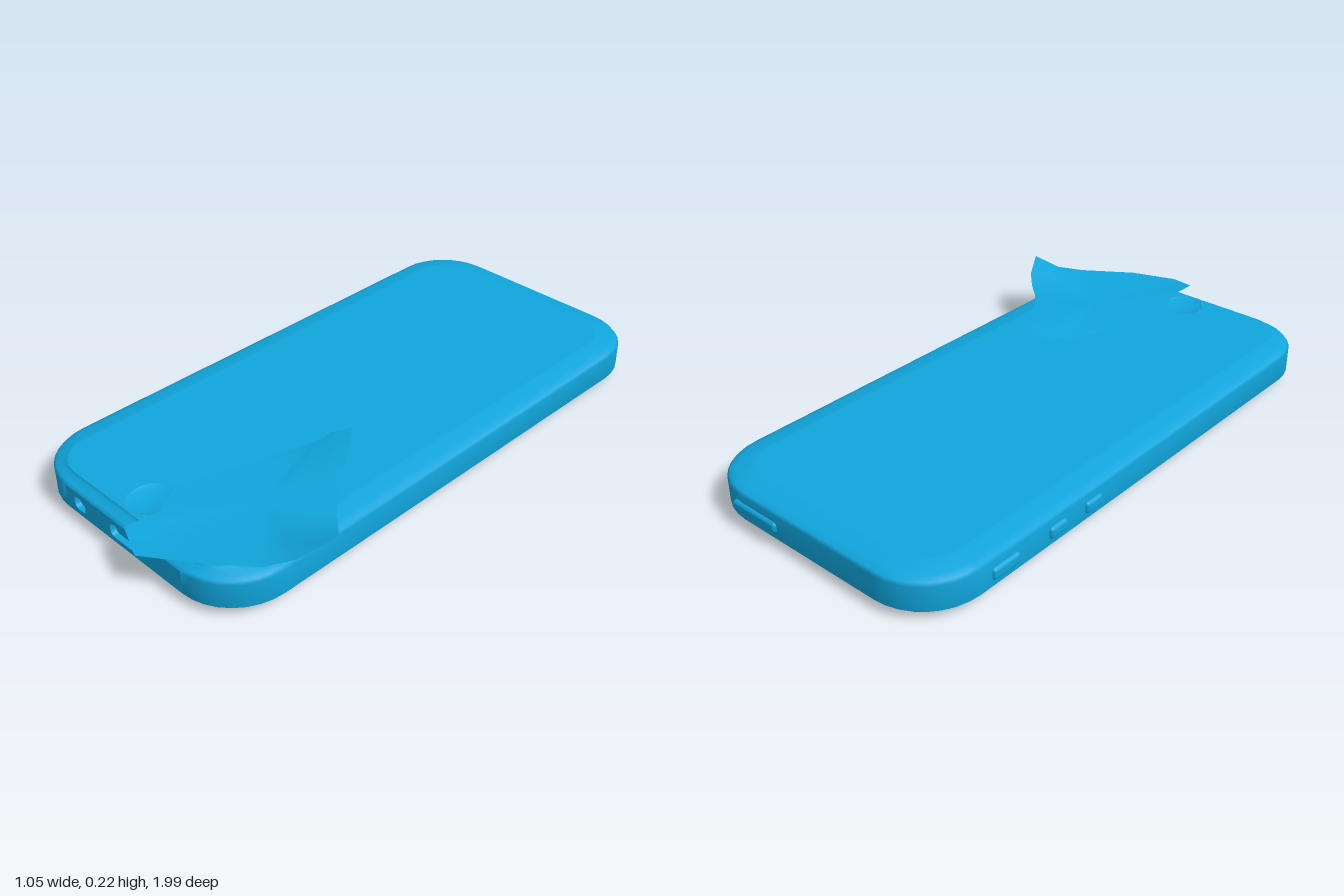
import * as THREE from 'three';
import { RoundedBoxGeometry } from 'three/addons/geometries/RoundedBoxGeometry.js';

const CX = -0.043, CZ = -0.03, HW = 0.473, HD = 0.96, R = 0.2, TOP = 0.14;
const FRONT = CZ + HD;
const BAND = 3; // profile row where the upright side wall begins

// Rounded-rectangle outline as [x, z], clockwise from above; the front edge insets less.
function outline(inset) {
  const pts = [], r = R - inset, frontInset = Math.min(inset, 0.036);
  for (let c = 0; c < 4; c++) {
    const sx = c === 0 || c === 3 ? 1 : -1, sz = c < 2 ? 1 : -1;
    for (let i = 0; i <= 8; i++) {
      const a = (c + i / 8) * Math.PI / 2;
      const shift = sz > 0 ? inset - frontInset : 0;
      pts.push([CX + sx * (HW - R) + r * Math.cos(a), CZ + sz * (HD - R) + r * Math.sin(a) + shift]);
    }
  }
  return pts;
}

// Rounded slot path in the xy plane
function slot(x, y, w, h, PathType = THREE.Path) {
  const p = new PathType(), r = h * 0.42, a = w / 2, b = h / 2;
  p.moveTo(x - a + r, y - b);
  p.lineTo(x + a - r, y - b).quadraticCurveTo(x + a, y - b, x + a, y - b + r);
  p.lineTo(x + a, y + b - r).quadraticCurveTo(x + a, y + b, x + a - r, y + b);
  p.lineTo(x - a + r, y + b).quadraticCurveTo(x - a, y + b, x - a, y + b - r);
  p.lineTo(x - a, y - b + r).quadraticCurveTo(x - a, y - b, x - a + r, y - b);
  return p;
}

function capGeometry(inset, y, up, hole) {
  // Shape y maps to -z when facing up, +z when facing down
  const s = up ? -1 : 1;
  const shape = new THREE.Shape(outline(inset).map(([x, z]) => new THREE.Vector2(x, s * z)));
  if (hole) shape.holes.push(hole);
  return new THREE.ShapeGeometry(shape, 24).rotateX(s * Math.PI / 2).translate(0, y, 0);
}

export function createModel() {
  const group = new THREE.Group();
  const mat = new THREE.MeshStandardMaterial({ color: 0x10a5dc });
  const sheetMat = new THREE.MeshStandardMaterial({ color: 0x10a5dc, side: THREE.DoubleSide });
  const add = (name, geo, m = mat) => {
    const mesh = new THREE.Mesh(geo, m);
    mesh.name = name;
    group.add(mesh);
    return mesh;
  };

  // Body side: bevelled profile of [inset, y] swept round the outline
  const profile = [[0.085, 0], [0.045, 0.011], [0.01, 0.023], [0, 0.032],
    [0, 0.113], [0.008, 0.122], [0.03, 0.13], [0.075, 0.139], [0.085, TOP]];
  const pos = [], idx = [], n = 36;
  for (const [inset, y] of profile) for (const [x, z] of outline(inset)) pos.push(x, y, z);
  for (let j = 0; j < profile.length - 1; j++) {
    for (let i = 0; i < n; i++) {
      if (j === BAND && i === 8) continue; // left open for the port panel
      const a = j * n + i, b = j * n + (i + 1) % n;
      idx.push(a, a + n, b, b, a + n, b + n);
    }
  }
  const side = new THREE.BufferGeometry();
  side.setAttribute('position', new THREE.Float32BufferAttribute(pos, 3));
  side.setIndex(idx);
  side.computeVertexNormals();
  add('bodySide', side);

  // Screen face with an opening for the round button, and the underside
  const bx = -0.05, bz = 0.812, brx = 0.07, brz = 0.078;
  const opening = new THREE.Path();
  opening.absellipse(bx, -bz, brx, brz, 0, Math.PI * 2);
  add('screenFace', capGeometry(0.085, TOP, true, opening));
  add('backFace', capGeometry(0.085, 0, false));

  // Dished round button
  const dish = [[0, -0.012], [0.5, -0.01], [0.85, -0.005], [1, 0]].map(([r, y]) => new THREE.Vector2(r, y));
  const button = add('homeButton', new THREE.LatheGeometry(dish, 32), sheetMat);
  button.scale.set(brx, 1, brz);
  button.position.set(bx, TOP, bz);

  // Front panel with two recessed ports
  const y0 = profile[BAND][1], y1 = profile[BAND + 1][1], px = HW - R;
  const panel = new THREE.Shape([[CX - px, y0], [CX + px, y0], [CX + px, y1], [CX - px, y1]]
    .map(([x, y]) => new THREE.Vector2(x, y)));
  const ports = [['audioPort', -0.25, 0.072, 0.056, 0.046], ['chargingPort', -0.042, 0.071, 0.115, 0.048]];
  for (const [name, x, y, w, h] of ports) {
    panel.holes.push(slot(x, y, w, h));
    const ring = slot(x, y, w + 0.01, h + 0.01, THREE.Shape);
    ring.holes.push(slot(x, y, w, h));
    add(name + 'Wall', new THREE.ExtrudeGeometry(ring, { depth: 0.019, bevelEnabled: false, curveSegments: 6 })
      .translate(0, 0, FRONT - 0.02));
    add(name + 'Floor', new THREE.ShapeGeometry(slot(x, y, w, h, THREE.Shape), 6).translate(0, 0, FRONT - 0.02));
  }
  add('portPanel', new THREE.ShapeGeometry(panel, 6).translate(0, 0, FRONT));

  // Side buttons and the power button on the back edge
  for (const [name, z, len] of [['muteSwitch', -0.69, 0.11], ['volumeUp', -0.47, 0.075], ['volumeDown', -0.31, 0.075]])
    add(name, new RoundedBoxGeometry(0.03, 0.04, len, 3, 0.012)).position.set(-0.511, 0.071, z);
  add('powerButton', new RoundedBoxGeometry(0.19, 0.036, 0.03, 3, 0.012)).position.set(0.175, 0.071, -0.985);

  // Peeling protective film: outline [x, y, z], eased down to a flat middle
  const rim = [[0.165, 0.19, 0.2], [0.28, 0.168, 0.35], [0.4, 0.153, 0.5], [0.45, 0.163, 0.54],
    [0.49, 0.187, 0.58], [0.525, 0.225, 0.65], [0.47, 0.172, 0.72], [0.41, 0.152, 0.79], [0.25, 0.147, 0.91],
    [0.11, 0.134, 0.99], [0.01, 0.152, 0.95], [0.02, 0.148, 0.83], [-0.04, 0.146, 0.73],
    [0.02, 0.143, 0.52], [0.08, 0.143, 0.32], [0.11, 0.16, 0.28], [0.11, 0.165, 0.24]];
  const mid = [0.2, 0.147, 0.6], film = [...mid], faces = [], m = rim.length;
  const rings = [[0.4, 0.15], [0.7, 0.45], [1, 1]]; // spread, share of the lift
  for (const [s, lift] of rings)
    for (const p of rim)
      film.push(mid[0] + (p[0] - mid[0]) * s, mid[1] + (p[1] - mid[1]) * lift, mid[2] + (p[2] - mid[2]) * s);
  for (let i = 0; i < m; i++) {
    const k = (i + 1) % m;
    faces.push(0, 1 + k, 1 + i);
    for (let r = 0; r < rings.length - 1; r++) {
      const a = 1 + r * m + i, b = 1 + r * m + k;
      faces.push(a, b, a + m, b, b + m, a + m);
    }
  }
  const filmGeo = new THREE.BufferGeometry();
  filmGeo.setAttribute('position', new THREE.Float32BufferAttribute(film, 3));
  filmGeo.setIndex(faces);
  filmGeo.computeVertexNormals();
  add('peelingFilm', filmGeo, sheetMat);

  return group;
}
